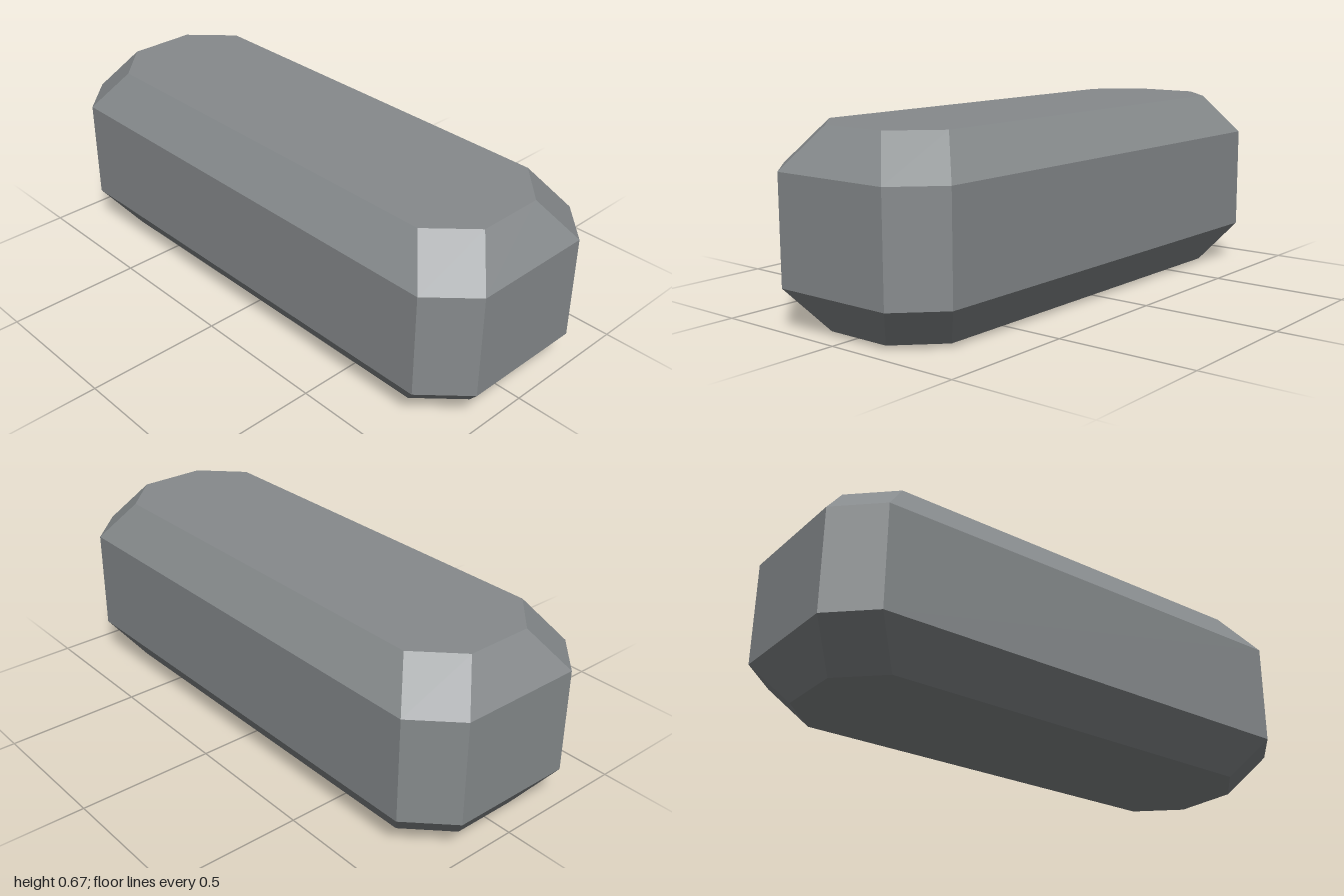
import * as THREE from 'three';

// Octagonal ring at height y: a rectangle with its corners cut off, counterclockwise from above
function ring(y, halfX, halfZ, cut) {
  const a = halfX - cut, b = halfZ - cut;
  return [
    [-a, y, halfZ], [a, y, halfZ], [halfX, y, b], [halfX, y, -b],
    [a, y, -halfZ], [-a, y, -halfZ], [-halfX, y, -b], [-halfX, y, b],
  ];
}

// Flat-faced solid through a stack of rings, capped at both ends
function loft(rings) {
  const pos = [];
  const tri = (a, b, c) => pos.push(...a, ...b, ...c);
  const n = rings[0].length;
  for (let r = 0; r < rings.length - 1; r++) {
    const lo = rings[r], hi = rings[r + 1];
    for (let i = 0; i < n; i++) {
      const j = (i + 1) % n;
      tri(lo[i], lo[j], hi[j]);
      tri(lo[i], hi[j], hi[i]);
    }
  }
  const bottom = rings[0], top = rings[rings.length - 1];
  for (let i = 1; i < n - 1; i++) {
    tri(bottom[0], bottom[i + 1], bottom[i]);
    tri(top[0], top[i], top[i + 1]);
  }
  const geometry = new THREE.BufferGeometry();
  geometry.setAttribute('position', new THREE.Float32BufferAttribute(pos, 3));
  geometry.computeVertexNormals();
  return geometry;
}

export function createModel() {
  const grey = new THREE.MeshStandardMaterial({ color: 0x868a8c, flatShading: true });
  grey.name = 'steel grey';

  // Bevelled ingot: narrow base, straight walls, narrow top
  const body = new THREE.Mesh(loft([
    ring(0, 0.268, 0.892, 0.144),
    ring(0.146, 0.376, 1, 0.144),
    ring(0.523, 0.376, 1, 0.144),
    ring(0.669, 0.268, 0.892, 0.144),
  ]), grey);
  body.name = 'bevelledBlock';

  const group = new THREE.Group();
  group.name = 'bevelledIngot';
  group.add(body);
  return group;
}
